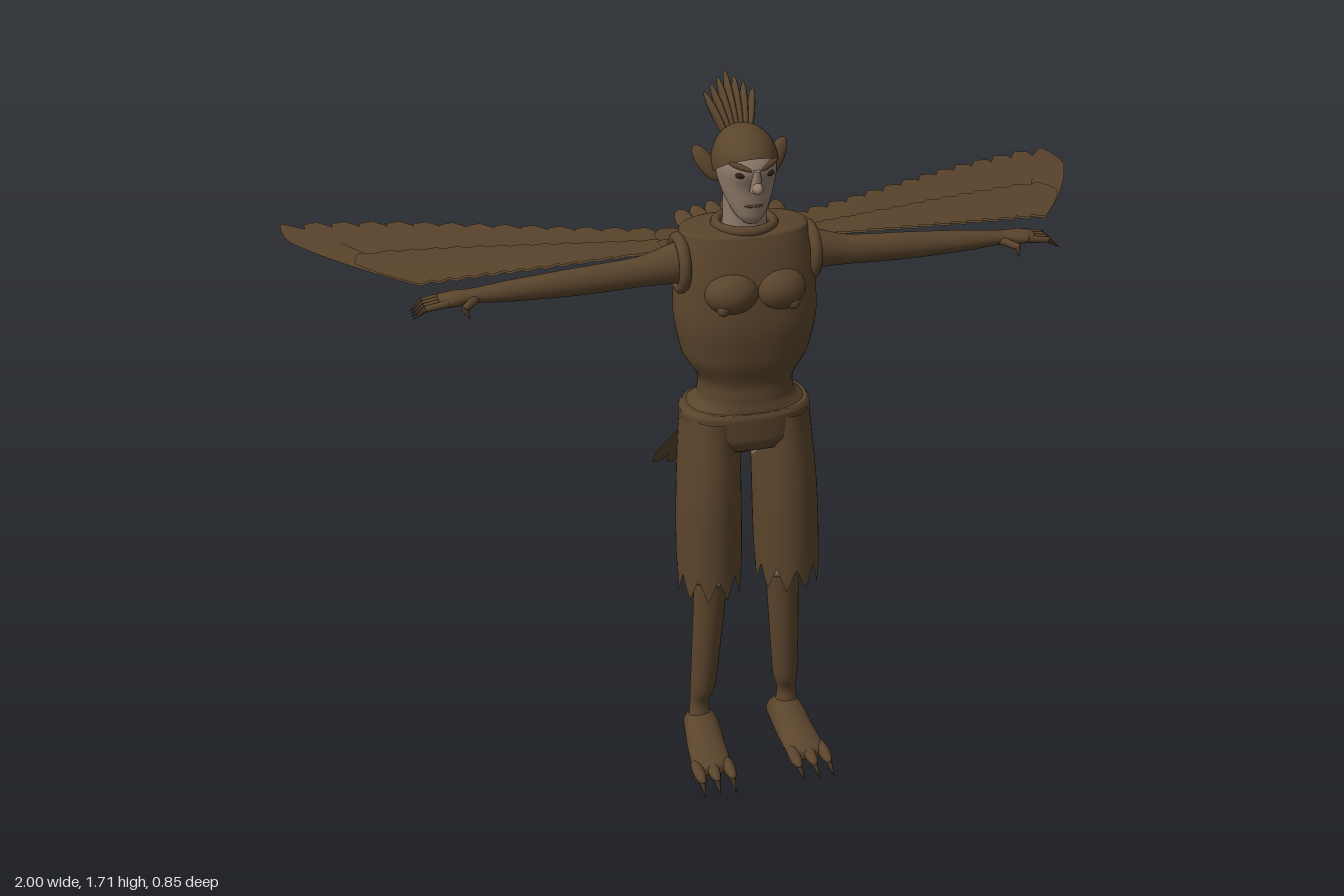
import * as THREE from 'three';

const V = (x, y, z) => new THREE.Vector3(x, y, z);
const mat = (name, color, side = THREE.FrontSide) => {
  const m = new THREE.MeshStandardMaterial({ color, side });
  m.name = name;
  return m;
};

// Smooth tube through oval sections [cx, cy, cz, r1, r2], listed in rising order along the axis.
// Radii: axis y -> (x, z), axis x -> (y, z), axis z -> (x, y).
function loft(axis, sections, { rows = 24, cols = 32, p = 2, hem = 0, cap = true } = {}) {
  const [u, v] = { x: ['y', 'z'], y: ['z', 'x'], z: ['x', 'y'] }[axis];
  const centre = new THREE.CatmullRomCurve3(sections.map(s => V(s[0], s[1], s[2])));
  const radii = new THREE.CatmullRomCurve3(
    sections.map(s => (axis === 'y' ? V(s[4], s[3], 0) : V(s[3], s[4], 0))));
  const bend = c => Math.sign(c) * Math.abs(c) ** (2 / p);
  const pos = [], idx = [];
  for (let i = 0; i <= rows; i++) {
    const t = i / rows, c = centre.getPoint(t), r = radii.getPoint(t);
    for (let j = 0; j < cols; j++) {
      const a = (j / cols) * Math.PI * 2, q = c.clone();
      q[u] += r.x * bend(Math.cos(a));
      q[v] += r.y * bend(Math.sin(a));
      q[axis] += hem * Math.abs((j % 4) - 2) / 2 * Math.max(0, 1 - 4 * t); // ragged edge
      pos.push(q.x, q.y, q.z);
      if (i < rows) {
        const A = i * cols + j, B = i * cols + (j + 1) % cols;
        idx.push(A, B, A + cols, B, B + cols, A + cols);
      }
    }
  }
  if (cap) {
    const first = sections[0], last = sections[sections.length - 1], n = (rows + 1) * cols;
    pos.push(...first.slice(0, 3), ...last.slice(0, 3));
    for (let j = 0; j < cols; j++) {
      const k = (j + 1) % cols, o = rows * cols;
      idx.push(n, k, j, n + 1, o + j, o + k);
    }
  }
  const g = new THREE.BufferGeometry();
  g.setAttribute('position', new THREE.Float32BufferAttribute(pos, 3));
  g.setIndex(idx);
  g.computeVertexNormals();
  return g;
}

// Flat feather along a curve, with a blunt tapered tip
function feather(curve, normal, width, tip = 0.35) {
  const g = new THREE.PlaneGeometry(1, 1, 2, 12), pos = g.attributes.position;
  for (let i = 0; i < pos.count; i++) {
    const t = pos.getY(i) + 0.5, s = pos.getX(i) * 2;
    const w = width * (t < 0.75 ? 0.65 + 0.47 * t : 1 - (1 - tip) * ((t - 0.75) / 0.25) ** 1.5);
    const q = curve.getPoint(t).addScaledVector(curve.getTangent(t).cross(normal).normalize(), s * w);
    pos.setXYZ(i, q.x, q.y, q.z);
  }
  g.computeVertexNormals();
  return g;
}

// Lay a geometry of unit height from one point to another
function along(g, from, to) {
  const d = to.clone().sub(from);
  g.scale(1, d.length(), 1);
  g.applyQuaternion(new THREE.Quaternion().setFromUnitVectors(V(0, 1, 0), d.normalize()));
  const mid = from.clone().add(to).multiplyScalar(0.5);
  return g.translate(mid.x, mid.y, mid.z);
}
const spike = (r, from, to, r2 = 0) => along(new THREE.CylinderGeometry(r2, r, 1, 10), from, to);
const leaf = (w, d, from, to) => along(new THREE.SphereGeometry(1, 12, 10).scale(w, 0.5, d), from, to);
const ball = (x, y, z, rx, ry, rz) => new THREE.SphereGeometry(1, 24, 16).scale(rx, ry, rz).translate(x, y, z);

function mirrored(g) {
  const m = g.clone().scale(-1, 1, 1), ix = m.index.array;
  for (let i = 0; i < ix.length; i += 3) [ix[i], ix[i + 1]] = [ix[i + 1], ix[i]];
  return m;
}

export function createModel() {
  const root = new THREE.Group();
  root.name = 'birdWoman';
  const brown = mat('featherBrown', 0x5a442c, THREE.DoubleSide);
  const skin = mat('paleSkin', 0x8f7b6b);
  const dark = mat('darkEye', 0x2b2018);
  const claw = mat('clawBrown', 0x3f3022);
  const add = (name, g, m) => {
    const mesh = new THREE.Mesh(g, m);
    mesh.name = name;
    root.add(mesh);
  };
  const pair = (name, g, m) => {
    add('left' + name, g, m);
    add('right' + name, mirrored(g), m);
  };

  // Torso and chest
  add('torso', loft('y', [
    [0, 0.965, 0.175, 0.145, 0.1], [0, 0.995, 0.18, 0.115, 0.09], [0, 1.03, 0.18, 0.112, 0.088],
    [0, 1.1, 0.175, 0.15, 0.112], [0, 1.2, 0.175, 0.168, 0.12], [0, 1.3, 0.168, 0.163, 0.112],
    [0, 1.37, 0.163, 0.154, 0.097], [0, 1.4, 0.16, 0.148, 0.088], [0, 1.408, 0.165, 0.07, 0.055],
  ], { rows: 48, cols: 40, p: 2.3 }), brown);
  pair('Breast', ball(0.055, 1.275, 0.258, 0.064, 0.05, 0.052), brown);
  pair('ChestTip', ball(0.082, 1.248, 0.288, 0.016, 0.016, 0.014), brown);

  // Trousers with ragged hems over bare thighs
  add('hips', loft('y', [
    [0, 0.87, 0.177, 0.13, 0.09], [0, 0.9, 0.176, 0.153, 0.104], [0, 0.955, 0.176, 0.157, 0.106],
    [0, 0.97, 0.177, 0.148, 0.1],
  ], { p: 2.4 }), brown);
  pair('TrouserLeg', loft('y', [
    [0.098, 0.485, 0.217, 0.077, 0.08], [0.097, 0.6, 0.207, 0.079, 0.088],
    [0.094, 0.75, 0.195, 0.077, 0.096], [0.088, 0.9, 0.178, 0.071, 0.1], [0.085, 0.95, 0.176, 0.068, 0.1],
  ], { cols: 40, hem: 0.06, cap: false }), brown);
  pair('Thigh', loft('y', [
    [0.09, 0.5, 0.203, 0.045, 0.046], [0.09, 0.65, 0.2, 0.06, 0.065], [0.08, 0.88, 0.178, 0.068, 0.085],
  ]), skin);

  // Shins, feet, toes and claws
  pair('Shin', loft('y', [
    [0.114, 0.08, 0.18, 0.03, 0.03], [0.114, 0.13, 0.175, 0.024, 0.024], [0.108, 0.18, 0.183, 0.031, 0.034],
    [0.1, 0.32, 0.193, 0.036, 0.038], [0.092, 0.48, 0.2, 0.04, 0.042], [0.09, 0.56, 0.203, 0.04, 0.043],
  ]), brown);
  pair('Foot', loft('z', [
    [0.108, 0.035, 0.105, 0.012, 0.014], [0.11, 0.048, 0.135, 0.036, 0.037], [0.112, 0.06, 0.185, 0.044, 0.05],
    [0.117, 0.045, 0.25, 0.048, 0.034], [0.122, 0.035, 0.32, 0.048, 0.022], [0.123, 0.034, 0.345, 0.03, 0.014],
  ]), brown);
  for (const x of [0.085, 0.125, 0.162]) {
    pair('Toe', leaf(0.015, 0.016, V(x, 0.036, 0.29), V(x, 0.036, 0.39)), brown);
    pair('ToeClaw', spike(0.01, V(x, 0.036, 0.37), V(x + 0.003, 0.012, 0.42)), claw);
  }
  pair('HeelClaw', spike(0.014, V(0.108, 0.045, 0.125), V(0.108, 0.028, 0.1)), claw);

  // Arms, hands and torn shoulder bands
  pair('Arm', loft('x', [
    [0.1, 1.33, 0.172, 0.055, 0.05], [0.17, 1.325, 0.172, 0.047, 0.043], [0.25, 1.315, 0.175, 0.035, 0.032],
    [0.4, 1.308, 0.176, 0.032, 0.029], [0.55, 1.304, 0.176, 0.024, 0.025], [0.63, 1.302, 0.176, 0.017, 0.02],
    [0.68, 1.3, 0.176, 0.016, 0.03], [0.71, 1.298, 0.176, 0.012, 0.027],
  ], { cols: 24, rows: 32 }), brown);
  pair('ShoulderBand', new THREE.TorusGeometry(0.058, 0.014, 10, 28).rotateY(Math.PI / 2)
    .translate(0.155, 1.325, 0.172), brown);
  for (let k = 0; k < 4; k++) {
    const z = 0.152 + k * 0.016;
    pair('Finger', spike(0.009, V(0.69, 1.3, z), V(0.745, 1.292, z), 0.007), brown);
    pair('FingerClaw', spike(0.008, V(0.74, 1.294, z), V(0.772, 1.27, z)), claw);
  }
  pair('Thumb', spike(0.011, V(0.625, 1.3, 0.185), V(0.66, 1.29, 0.222), 0.008), brown);
  pair('ThumbClaw', spike(0.008, V(0.657, 1.291, 0.218), V(0.65, 1.275, 0.243)), claw);

  // Wings: long flight feathers, with a shorter covert row above
  const tips = new THREE.CatmullRomCurve3([
    [0.13, -0.03], [0.31, -0.11], [0.55, -0.24], [0.75, -0.345], [0.9, -0.4], [0.992, -0.425],
  ].map(([x, z]) => V(x, 0, z)));
  const count = 15;
  for (let i = 0; i < count; i++) {
    const f = i / (count - 1), base = V(0.16 + 0.56 * f, 0, 0.155), tip = tips.getPointAt(f);
    for (const [name, reach, lift] of [['FlightFeather', 1, 0], ['CovertFeather', 0.45, 0.005]]) {
      const end = base.clone().lerp(tip, reach);
      const mid = base.clone().lerp(end, 0.5).add(V(0.055 * f * reach, 0, 0));
      for (const q of [base, mid, end]) q.y = 1.347 + lift - 0.0008 * i - 0.095 * (0.155 - q.z);
      const g = feather(new THREE.QuadraticBezierCurve3(base.clone(), mid, end), V(0, 1, 0),
        0.036 + 0.008 * f, i === count - 1 ? 0.12 : 0.4);
      pair(name, g, brown);
    }
  }

  // Tail fan sloping down and back
  const down = V(0, -0.83, -0.56), face = V(0, 0.56, -0.83);
  for (let k = -4; k <= 4; k++) {
    const a = k * 0.095, from = V(k * 0.011, 0.925, 0.08).addScaledVector(face, 0.001 * (4 - Math.abs(k)));
    const to = from.clone().addScaledVector(down, 0.312 * Math.cos(a)).add(V(0.3 * Math.sin(a), 0, 0));
    add('tailFeather', feather(new THREE.LineCurve3(from, to), face, 0.024), brown);
  }

  // Feather ruff behind the neck
  for (let k = -3; k <= 3; k++) {
    const s = 1 - Math.abs(k) * 0.12;
    add('ruffFeather', leaf(0.022, 0.006, V(k * 0.034, 1.365, 0.1),
      V(k * 0.04, 1.37 + 0.042 * s, 0.065 - 0.055 * s)), brown);
  }
  add('collar', new THREE.TorusGeometry(0.066, 0.012, 10, 32).rotateX(Math.PI / 2).translate(0, 1.408, 0.168), brown);

  // Neck, face and cap of feathers
  add('neck', loft('y', [
    [0, 1.37, 0.165, 0.056, 0.053], [0, 1.43, 0.17, 0.05, 0.048], [0, 1.52, 0.175, 0.052, 0.055],
  ]), skin);
  add('face', loft('y', [
    [0, 1.428, 0.222, 0.016, 0.014], [0, 1.445, 0.212, 0.034, 0.032], [0, 1.48, 0.195, 0.052, 0.053],
    [0, 1.515, 0.182, 0.063, 0.07], [0, 1.56, 0.178, 0.067, 0.088], [0, 1.6, 0.175, 0.058, 0.07],
  ], { p: 2.2 }), skin);
  add('featherCap', new THREE.SphereGeometry(1, 32, 20, 0, Math.PI * 2, 0, Math.PI * 0.56)
    .rotateX(-0.6).scale(0.074, 0.083, 0.1).translate(0, 1.557, 0.17), brown);
  add('nose', spike(0.015, V(0, 1.515, 0.262), V(0, 1.565, 0.268), 0.007), skin);
  add('noseTip', ball(0, 1.525, 0.272, 0.012, 0.014, 0.019), skin);
  add('mouth', ball(0, 1.474, 0.243, 0.022, 0.004, 0.007), brown);
  pair('Eye', ball(0.031, 1.552, 0.25, 0.014, 0.008, 0.01), dark);
  pair('Brow', leaf(0.007, 0.008, V(0.01, 1.563, 0.264), V(0.056, 1.578, 0.235)), brown);
  pair('Ear', leaf(0.02, 0.012, V(0.058, 1.51, 0.16), V(0.107, 1.586, 0.125)), brown);

  // Crest swept up and back
  for (let k = -3; k <= 3; k++) {
    const s = 1 - 0.1 * Math.abs(k);
    add('crestFeather', leaf(0.009, 0.02, V(k * 0.008, 1.59, 0.12),
      V(k * 0.019, 1.59 + 0.125 * s, 0.115 - 0.115 * s)), brown);
  }
  return root;
}
